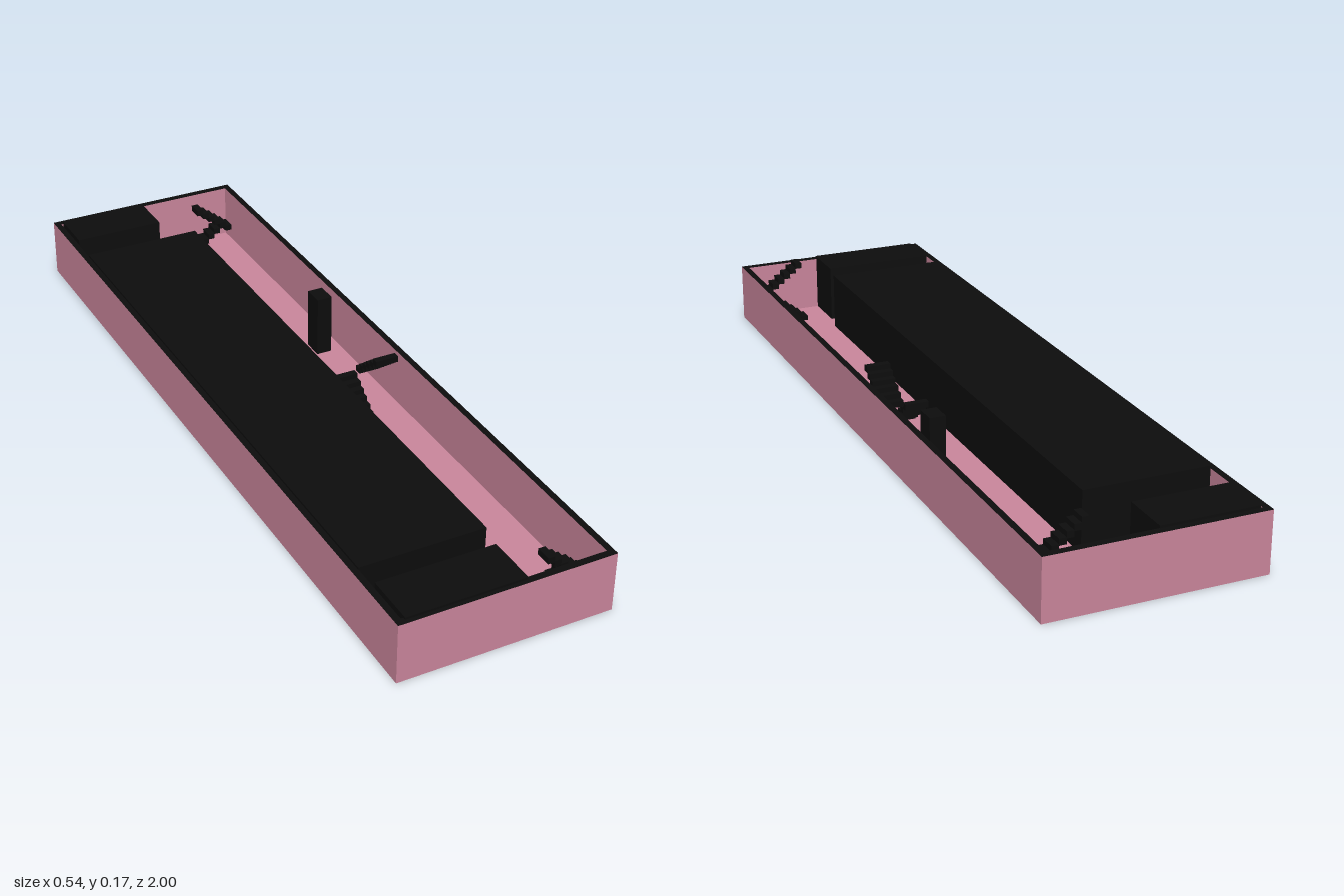
import * as THREE from 'three';

const pink = new THREE.MeshStandardMaterial({ color: 0xcc879d });
const black = new THREE.MeshStandardMaterial({ color: 0x0d0d0d });

const FLOOR = 0.008, WALL_TOP = 0.155, BLOCK_TOP = 0.161, STAIR_TOP = 0.169;

// Box given by its limits on each axis
function block(name, material, [x0, x1], [y0, y1], [z0, z1]) {
  const mesh = new THREE.Mesh(new THREE.BoxGeometry(x1 - x0, y1 - y0, z1 - z0), material);
  mesh.position.set((x0 + x1) / 2, (y0 + y1) / 2, (z0 + z1) / 2);
  mesh.name = name;
  return mesh;
}

// Rectangular ring between two heights
function frame(name, material, y0, y1) {
  const shape = new THREE.Shape([[-0.272, -1], [0.272, -1], [0.272, 1], [-0.272, 1]]
    .map(p => new THREE.Vector2(...p)));
  shape.holes.push(new THREE.Path([[-0.256, -0.982], [-0.256, 0.982], [0.256, 0.982], [0.256, -0.982]]
    .map(p => new THREE.Vector2(...p))));
  const geometry = new THREE.ExtrudeGeometry(shape, { depth: y1 - y0, bevelEnabled: false });
  geometry.rotateX(-Math.PI / 2).translate(0, y0, 0);
  const mesh = new THREE.Mesh(geometry, material);
  mesh.name = name;
  return mesh;
}

// Two parallel flights of stepping blocks: out along +x on the -z side,
// then back along -x on the +z side, centred on its own origin
function staircase(name, x, z, turn = 0) {
  const group = new THREE.Group();
  const steps = 6, length = 0.105, width = 0.04, gap = 0.003;
  const run = length / steps, rise = (STAIR_TOP - FLOOR) / (2 * steps);
  for (let i = 0; i < 2 * steps; i++) {
    const upper = i >= steps;
    const k = upper ? 2 * steps - 1 - i : i;
    const x0 = -length / 2 + k * run;
    const top = FLOOR + (i + 1) * rise;
    const z0 = upper ? gap / 2 : -gap / 2 - width;
    group.add(block('step', black, [x0, x0 + run + 0.0005],
      [Math.max(top - rise * 1.2, FLOOR), top], [z0, z0 + width]));
  }
  group.name = name;
  group.position.set(x, 0, z);
  group.rotation.y = turn;
  return group;
}

export function createModel() {
  const model = new THREE.Group();
  model.name = 'openHall';

  // Shell
  model.add(block('floor', pink, [-0.272, 0.272], [0, FLOOR], [-1, 1]));
  model.add(frame('walls', pink, FLOOR, WALL_TOP - 0.0008));
  model.add(frame('wallRim', black, WALL_TOP - 0.0008, WALL_TOP));

  // Large inner rooms
  model.add(block('mainRoom', black, [-0.257, 0.062], [FLOOR, BLOCK_TOP], [-0.765, 0.8]));
  model.add(block('backRoom', black, [-0.25, -0.007], [FLOOR, BLOCK_TOP], [-0.983, -0.857]));
  model.add(block('frontRoom', black, [-0.25, 0.05], [FLOOR, BLOCK_TOP], [0.86, 0.99]));

  // Shaft standing in the corridor
  model.add(block('shaft', black, [0.181, 0.222], [FLOOR, 0.173], [-0.295, -0.239]));

  // Stairs at both ends
  model.add(staircase('backStairs', 0.164, -0.898));
  model.add(staircase('frontStairs', 0.169, 0.922));

  // Wider middle stairs, turned so the upper flight climbs towards the front
  const middle = staircase('middleStairs', 0.171, 0.043, Math.PI / 2);
  middle.scale.z = 1.55;
  model.add(middle);

  return model;
}
